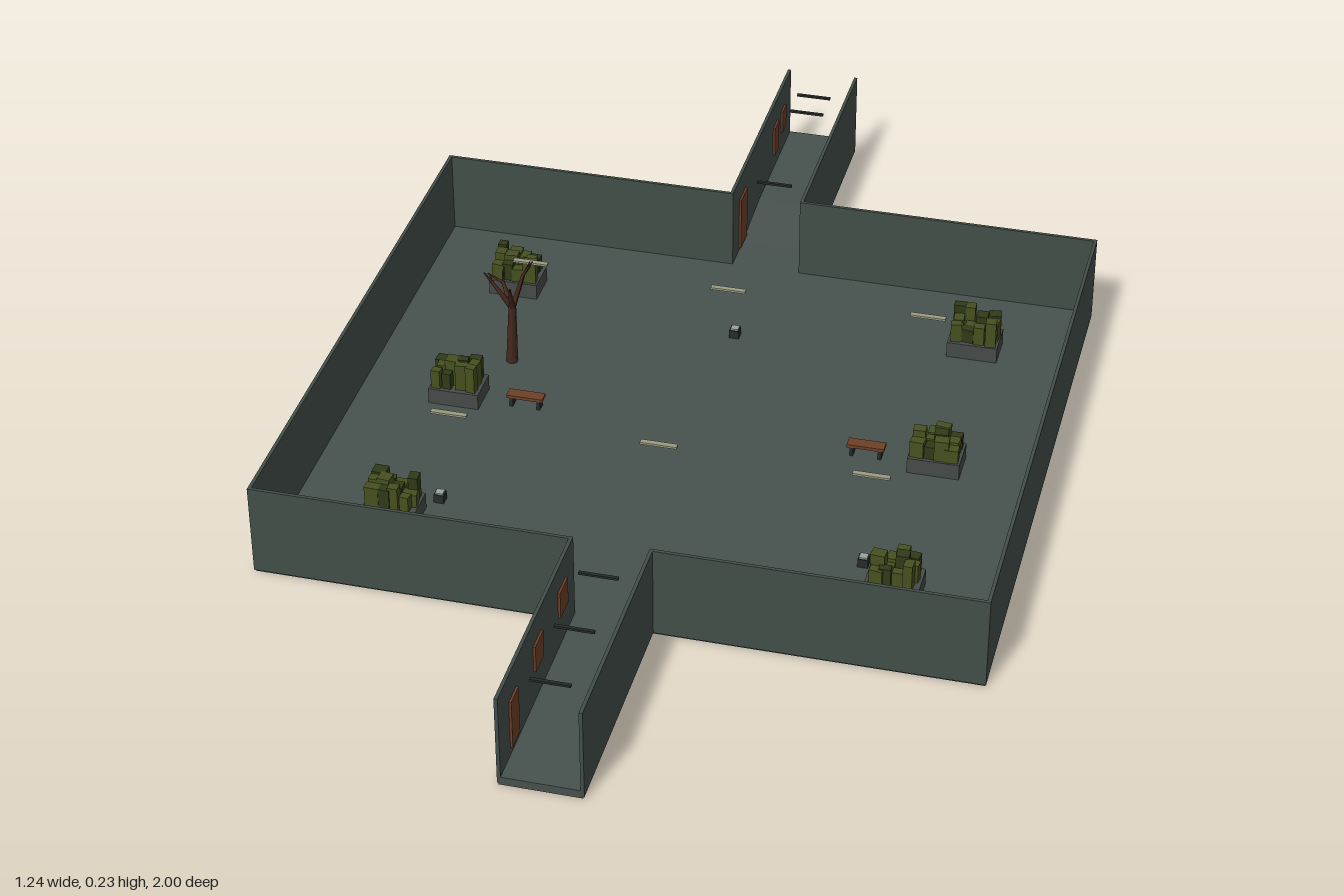
import * as THREE from 'three';

const mat = (name, color) => new THREE.MeshStandardMaterial({ name, color });

export function createModel() {
  const root = new THREE.Group();
  root.name = 'stationHall';
  const M = {
    floor: mat('floorGrey', 0x47514d),
    wall: mat('wallGreenGrey', 0x434e49),
    stone: mat('planterStone', 0x454b49),
    leaf: mat('leafGreen', 0x47501f),
    leafDark: mat('leafDark', 0x303a18),
    wood: mat('rustWood', 0x6e4027),
    bark: mat('bark', 0x44291e),
    lamp: mat('lampCream', 0x9c9d82),
    dark: mat('darkMetal', 0x262c2b),
    pale: mat('paleMetal', 0x9aa39e),
  };
  const FLOOR = 0.015, TOP = 0.17;

  // Box placed by the centre of its base
  const box = (parent, name, m, w, h, d, x, y, z) => {
    const mesh = new THREE.Mesh(new THREE.BoxGeometry(w, h, d), m);
    mesh.name = name;
    mesh.position.set(x, y + h / 2, z);
    parent.add(mesh);
    return mesh;
  };
  const group = (name, x, y, z) => {
    const g = new THREE.Group();
    g.name = name;
    g.position.set(x, y, z);
    root.add(g);
    return g;
  };

  // Floor slabs
  box(root, 'hallFloor', M.floor, 1.236, FLOOR, 1.101, 0, 0, 0.0325);
  box(root, 'frontPassageFloor', M.floor, 0.136, FLOOR, 0.417, 0, 0, 0.7915);
  // Back passage floor with a ramp up to a higher level
  const ramp = new THREE.Shape([
    [0.518, 0], [1, 0], [1, 0.029], [0.73, 0.029], [0.59, FLOOR], [0.518, FLOOR],
  ].map(p => new THREE.Vector2(...p)));
  const rampGeo = new THREE.ExtrudeGeometry(ramp, { depth: 0.136, bevelEnabled: false });
  rampGeo.rotateY(Math.PI / 2).translate(-0.068, 0, 0);
  const rampMesh = new THREE.Mesh(rampGeo, M.floor);
  rampMesh.name = 'backPassageRamp';
  root.add(rampMesh);

  // Thin walls, mirrored along the outline of hall and passages
  const T = 0.006, base = 0.003;
  for (const s of [-1, 1]) {
    const outline = [[0.067, 1], [0.067, 0.582], [0.617, 0.582], [0.617, -0.517], [0.067, -0.517], [0.067, -1]];
    for (let i = 0; i < outline.length - 1; i++) {
      const [x0, z0] = outline[i], [x1, z1] = outline[i + 1];
      const along = x0 === x1;
      const zEnd = Math.min(1, Math.max(z0, z1) + (along ? T / 2 : 0));
      const zStart = Math.max(-1, Math.min(z0, z1) - (along ? T / 2 : 0));
      if (along) box(root, 'wall', M.wall, T, TOP - base, zEnd - zStart, s * x0, base, (zStart + zEnd) / 2);
      else box(root, 'wall', M.wall, Math.abs(x1 - x0) - T, TOP - base, T, s * (x0 + x1) / 2, base, z0);
    }
  }

  // Hanging lamps in the hall and dim ones in the passages
  for (const x of [-0.37, 0, 0.365]) for (const z of [-0.215, 0.278]) {
    box(root, 'hallLamp', M.lamp, 0.064, 0.004, 0.01, x, 0.154, z);
  }
  for (const z of [-0.93, -0.865, -0.59, 0.65, 0.79, 0.925]) {
    box(root, 'passageLamp', M.dark, 0.066, 0.004, 0.006, -0.002, 0.154, z);
  }

  // Rusty panels on the right wall of the passages
  for (const [z, w, y0, y1] of [
    [-0.93, 0.03, 0.075, 0.122], [-0.865, 0.035, 0.06, 0.122], [-0.59, 0.05, 0.02, 0.125],
    [0.65, 0.045, 0.075, 0.125], [0.79, 0.045, 0.075, 0.125], [0.925, 0.04, 0.03, 0.12],
  ]) {
    box(root, 'wallPanel', M.wood, 0.005, y1 - y0, w, -0.0625, y0, z);
  }

  // Planters with blocky shrubs
  let seed = 7;
  const rnd = () => (seed = (seed * 16807) % 2147483647) / 2147483647;
  for (const x of [-0.435, 0.432]) for (const z of [-0.34, 0.03, 0.397]) {
    const g = group('planter', x, FLOOR, z);
    box(g, 'planterBox', M.stone, 0.092, 0.03, 0.068, 0, 0, 0);
    for (let i = 0; i < 4; i++) for (let j = 0; j < 3; j++) {
      const m = (i + j) % 3 === 0 ? M.leafDark : M.leaf;
      const leaf = box(g, 'shrub', m, 0.016 + rnd() * 0.01, 0.024 + rnd() * 0.03, 0.014 + rnd() * 0.009,
        (i - 1.5) * 0.02 + (rnd() - 0.5) * 0.007, 0.03, (j - 1) * 0.019 + (rnd() - 0.5) * 0.005);
      leaf.rotation.y = (rnd() - 0.5) * 0.3;
    }
  }

  // Benches
  for (const x of [-0.31, 0.308]) {
    const g = group('bench', x, FLOOR, 0.03);
    box(g, 'benchSeat', M.wood, 0.066, 0.006, 0.022, 0, 0.018, 0);
    for (const s of [-1, 1]) box(g, 'benchLeg', M.dark, 0.006, 0.018, 0.018, s * 0.025, 0, 0);
  }

  // Litter bins
  for (const [x, z] of [[-0.002, -0.277], [-0.372, 0.338], [0.368, 0.338]]) {
    const g = group('bin', x, FLOOR, z);
    box(g, 'binBody', M.dark, 0.018, 0.016, 0.018, 0, 0, 0);
    box(g, 'binLid', M.pale, 0.014, 0.003, 0.014, 0, 0.016, 0);
  }

  // Bare tree: tapered limbs between points
  const tree = group('tree', -0.375, FLOOR, -0.1);
  const limb = (name, a, b, r0, r1) => {
    const p = new THREE.Vector3(...a), q = new THREE.Vector3(...b);
    const dir = q.clone().sub(p);
    const mesh = new THREE.Mesh(new THREE.CylinderGeometry(r1, r0, dir.length(), 6), M.bark);
    mesh.name = name;
    mesh.position.copy(p).add(q).multiplyScalar(0.5);
    mesh.quaternion.setFromUnitVectors(new THREE.Vector3(0, 1, 0), dir.normalize());
    tree.add(mesh);
  };
  limb('trunk', [0, 0, 0], [0.004, 0.12, 0], 0.011, 0.007);
  const fork = [0.004, 0.115, 0];
  for (const [tip, twig] of [
    [[0.022, 0.18, -0.012], [0.04, 0.21, -0.014]],
    [[-0.028, 0.165, 0.006], [-0.043, 0.19, 0.012]],
    [[0.01, 0.165, 0.03], [0.015, 0.185, 0.045]],
    [[-0.02, 0.15, -0.025], [-0.05, 0.162, -0.03]],
    [[0.018, 0.17, -0.03], [0.03, 0.187, -0.036]],
  ]) {
    limb('branch', fork, tip, 0.006, 0.003);
    limb('twig', tip, twig, 0.003, 0.0012);
    limb('twig', tip, [tip[0] * 1.3, tip[1] + 0.014, tip[2] * 1.5 - 0.008], 0.0025, 0.001);
  }
  return root;
}
